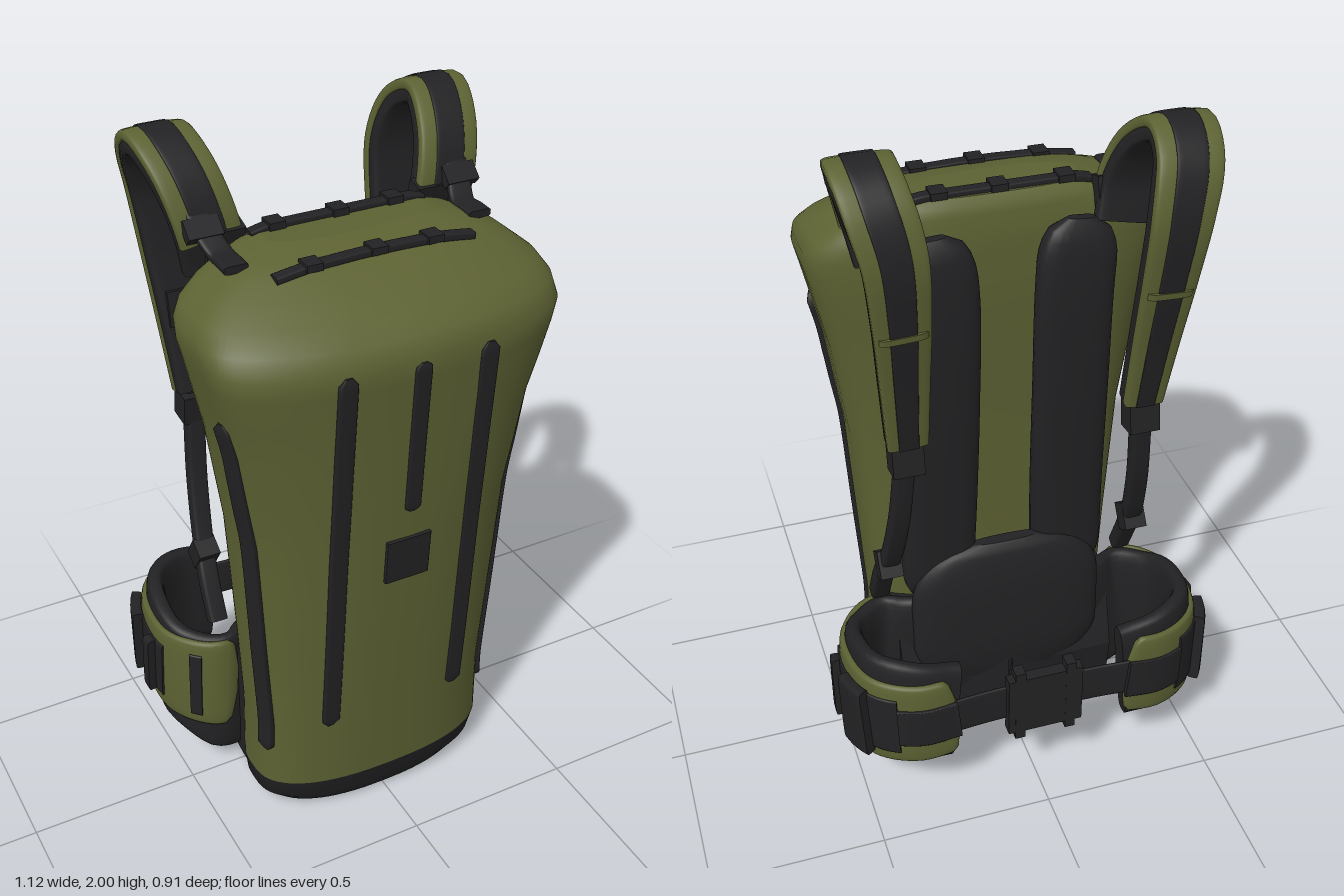
import * as THREE from 'three';

const green = new THREE.MeshStandardMaterial({ color: 0x5d6233 });
green.name = 'olive fabric';
const black = new THREE.MeshStandardMaterial({ color: 0x222224 });
black.name = 'black webbing';

const V = (x, y, z) => new THREE.Vector3(x, y, z);
const X = V(1, 0, 0), Y = V(0, 1, 0), Z = V(0, 0, 1);
const spow = (v, e) => Math.sign(v) * Math.abs(v) ** e;

// Closed skin over a list of rings, with fan caps
function skin(rings) {
  const n = rings[0].length, pos = [], idx = [];
  rings.forEach(r => r.forEach(p => pos.push(p.x, p.y, p.z)));
  for (let i = 0; i < rings.length - 1; i++) for (let j = 0; j < n; j++) {
    const k = (j + 1) % n, a = i * n + j, c = i * n + k;
    idx.push(a, a + n, c, a + n, c + n, c);
  }
  [rings[0], rings[rings.length - 1]].forEach((r, end) => {
    const base = pos.length / 3;
    const mid = r.reduce((s, p) => s.add(p), V(0, 0, 0)).divideScalar(n);
    [...r, mid].forEach(p => pos.push(p.x, p.y, p.z));
    for (let j = 0; j < n; j++) {
      const k = (j + 1) % n;
      idx.push(base + n, base + (end ? k : j), base + (end ? j : k));
    }
  });
  const g = new THREE.BufferGeometry();
  g.setAttribute('position', new THREE.Float32BufferAttribute(pos, 3));
  g.setIndex(idx);
  g.computeVertexNormals();
  return g;
}

// Flat padded band along a path; side is the width direction
function band(points, side, width, thick, { off = 0, from = 0, to = 1, n = 5, steps = 28, round = 0 } = {}) {
  const curve = new THREE.CatmullRomCurve3(points), rings = [];
  for (let i = 0; i <= steps; i++) {
    const s = i / steps, u = from + (to - from) * s;
    const P = curve.getPointAt(u), T = curve.getTangentAt(u);
    const S = side.clone().addScaledVector(T, -side.dot(T)).normalize();
    const N = S.clone().cross(T);
    const e = round ? Math.min(1, Math.min(s, 1 - s) / round) : 1;
    const f = 0.35 + 0.65 * Math.sqrt(1 - (1 - e) ** 2);
    const w = (typeof width === 'function' ? width(u) : width) / 2 * f;
    const ring = [];
    for (let j = 0; j < 24; j++) {
      const a = j / 24 * Math.PI * 2;
      ring.push(P.clone().addScaledVector(S, w * spow(Math.cos(a), 2 / n))
        .addScaledVector(N, off + thick / 2 * f * spow(Math.sin(a), 2 / n)));
    }
    rings.push(ring);
  }
  return skin(rings);
}

// Pack sections: y, half width, front z, back z, front bulge, squareness of the front corners
const rows = [
  [0.005, 0.27, 0.27, 0.03, 0.03, 3], [0.02, 0.32, 0.305, 0.01, 0.03, 3], [0.06, 0.36, 0.325, 0, 0.03, 3],
  [0.13, 0.37, 0.342, 0, 0.03, 3], [0.35, 0.365, 0.358, -0.005, 0.04, 3], [0.6, 0.378, 0.38, -0.01, 0.045, 3],
  [1.0, 0.40, 0.41, -0.025, 0.06, 3.2], [1.3, 0.44, 0.432, -0.045, 0.075, 4.2], [1.5, 0.483, 0.448, -0.06, 0.085, 6],
  [1.56, 0.497, 0.453, -0.06, 0.09, 6], [1.61, 0.497, 0.425, -0.06, 0.09, 5], [1.65, 0.475, 0.375, -0.06, 0.08, 4.5],
  [1.69, 0.425, 0.31, -0.055, 0.07, 4], [1.72, 0.37, 0.255, -0.05, 0.05, 4], [1.745, 0.31, 0.2, -0.045, 0.03, 4],
  [1.763, 0.23, 0.12, -0.025, 0.02, 4]];
const BACK = 3.2;
function section(y) {
  let i = 0;
  while (i < rows.length - 2 && rows[i + 1][0] < y) i++;
  const t = THREE.MathUtils.clamp((y - rows[i][0]) / (rows[i + 1][0] - rows[i][0]), 0, 1);
  const [, w, zf, zb, b, front] = rows[i].map((v, k) => v + (rows[i + 1][k] - v) * t);
  return { w, b, front, c: (zf - b + zb) / 2, d: (zf - b - zb) / 2 };
}
function packRing(y) {
  const s = section(y), ring = [];
  for (let j = 0; j < 72; j++) {
    const a = j / 72 * Math.PI * 2, sn = Math.sin(a), e = 2 / (sn > 0 ? s.front : BACK);
    const x = s.w * spow(Math.cos(a), e);
    const bulge = sn > 0 ? s.b * (1 - (x / s.w) ** 2) : 0;
    ring.push(V(x, y, s.c + s.d * spow(sn, e) + bulge));
  }
  return ring;
}
function frontZ(x, y) {
  const s = section(y), r = Math.min(1, Math.abs(x / s.w));
  return s.c + s.d * (1 - r ** s.front) ** (1 / s.front) + s.b * (1 - r * r);
}
function sideX(y, z) {
  let x = section(y).w;
  while (frontZ(x, y) < z) x -= 0.001;
  return x;
}
function topY(x, z) {
  let y = 1.763;
  for (; y > 1.5; y -= 0.002) {
    const s = section(y);
    if (Math.abs(x) < s.w && z < frontZ(x, y) && z > s.c - s.d * (1 - Math.abs(x / s.w) ** BACK) ** (1 / BACK)) break;
  }
  return y;
}
const spread = (a, b, n, f) => Array.from({ length: n + 1 }, (_, i) => f(a + (b - a) * i / n));

function mirrored(geo) {
  const g = geo.clone().scale(-1, 1, 1), a = g.index.array;
  for (let i = 0; i < a.length; i += 3) [a[i], a[i + 1]] = [a[i + 1], a[i]];
  g.computeVertexNormals();
  return g;
}

export function createModel() {
  const model = new THREE.Group();
  model.name = 'backpack';
  const add = (name, geo, mat) => {
    const m = new THREE.Mesh(geo, mat);
    m.name = name;
    model.add(m);
  };
  const pair = (name, geo, mat) => {
    add(name + 'Left', geo, mat);
    add(name + 'Right', mirrored(geo), mat);
  };
  const box = (w, h, d, x, y, z, rx = 0) => new THREE.BoxGeometry(w, h, d).rotateX(rx).translate(x, y, z);

  // Pack body and base
  const ys = rows.map(r => r[0]);
  add('packBase', skin(ys.slice(0, 4).map(packRing)), black);
  add('packBody', skin([...ys.slice(3), 0.8, 1.15, 1.4].sort((a, b) => a - b).map(packRing)), green);

  // Daisy-chain strips on front, sides and top
  const frontPath = (x, y0, y1) => spread(y0, y1, 12, y => V(x, y, frontZ(x, y)));
  pair('frontStrip', band(frontPath(0.2, 0.36, 1.55), X, 0.052, 0.018, { round: 0.02, steps: 60 }), black);
  add('centreStrip', band(frontPath(0, 1.09, 1.55), X, 0.046, 0.014, { round: 0.04, steps: 40 }), black);
  add('frontPatch', band(frontPath(-0.005, 0.868, 1.005), X, 0.132, 0.018, { n: 12 }), black);
  const sidePath = spread(0.25, 1.4, 12, y => V(sideX(y, 0.225 + 0.022 * y), y, 0.225 + 0.022 * y));
  pair('sideStrip', band(sidePath, V(0.33, 0, -0.94), 0.054, 0.024, { round: 0.02, steps: 60 }), black);
  [[0, 0.25], [0.205, 0.28]].forEach(([z, half]) => {
    add('topStrip', band(spread(-half, half, 10, x => V(x, topY(x, z) + 0.004, z)), Z, 0.035, 0.02), black);
    [-0.18, 0, 0.16].forEach(x => add('topClip', box(0.045, 0.02, 0.05, x, topY(x, z) + 0.01, z), black));
  });

  // Padded back panel
  const padPath = [V(0.2, 0.48, -0.035), V(0.19, 0.8, -0.055), V(0.185, 1.2, -0.08), V(0.185, 1.5, -0.09), V(0.2, 1.69, -0.08)];
  pair('backPad', band(padPath, X.clone().negate(), 0.215, 0.085, { n: 3, round: 0.1, steps: 40 }), black);
  const lumbar = [V(0, 0.15, -0.08), V(0, 0.4, -0.085), V(0, 0.67, -0.07)];
  add('lumbarPad', band(lumbar, X.clone().negate(), 0.58, 0.11, { n: 2.6, round: 0.35, steps: 32 }), black);
  const wedge = new THREE.Shape([[-0.06, 0.02], [0.0, 0.02], [0.1, 0.05], [0.12, 0.2], [0.05, 0.45], [-0.06, 0.45]]
    .map(p => new THREE.Vector2(...p)));
  add('lumbarBase', new THREE.ExtrudeGeometry(wedge, { depth: 0.66, bevelEnabled: false })
    .translate(0, 0, -0.33).rotateY(Math.PI / 2), black);

  // Hip belt wings
  const wing = heights => [[0, -0.1], [0.25, -0.06], [0.39, -0.03], [0.475, -0.12], [0.485, -0.24], [0.45, -0.34], [0.36, -0.395], [0.25, -0.4]]
    .map(([x, z], i) => V(x, heights[i], z));
  const down = Y.clone().negate();
  const core = wing([0.265, 0.265, 0.285, 0.315, 0.35, 0.37, 0.37, 0.36]);
  const cover = wing([0.315, 0.32, 0.33, 0.335, 0.345, 0.355, 0.36, 0.37]);
  const coreHeight = u => 0.47 - 0.09 * THREE.MathUtils.smoothstep(u, 0.25, 0.55) - 0.04 * THREE.MathUtils.smoothstep(u, 0.8, 1);
  pair('beltPad', band(core, down, coreHeight, 0.06, { off: -0.006, n: 4, steps: 48 }), black);
  pair('beltCover', band(cover, down, u => 0.34 - 0.06 * u, 0.032, { off: 0.026, from: 0.36, n: 4, steps: 40, round: 0.06 }), green);
  const belt = (name, w, t, off, from, to) => pair(name, band(cover, down, w, t, { off, from, to, n: 8, steps: 12 }), black);
  belt('beltStripe', 0.23, 0.01, 0.042, 0.445, 0.475);
  belt('beltPanel', 0.2, 0.012, 0.042, 0.56, 0.84);
  belt('beltWebbing', 0.13, 0.014, 0.046, 0.84, 1);
  belt('beltAdjuster', 0.2, 0.03, 0.056, 0.59, 0.62);
  belt('beltBuckle', 0.23, 0.036, 0.058, 0.69, 0.77);

  // Belt closure at the back
  add('closureWebbing', band([V(-0.29, 0.37, -0.435), V(-0.15, 0.37, -0.425), V(0.15, 0.37, -0.425), V(0.29, 0.37, -0.435)], Y, 0.12, 0.012), black);
  add('closureBuckle', box(0.22, 0.2, 0.035, 0, 0.37, -0.437), black);
  [-0.075, 0.075].forEach(x => add('buckleBar', box(0.03, 0.25, 0.04, x, 0.37, -0.435), black));

  // Shoulder straps
  const strap = [V(0.32, 1.66, -0.06), V(0.345, 1.78, -0.05), V(0.375, 1.9, -0.1), V(0.398, 1.968, -0.2), V(0.388, 1.925, -0.29),
    V(0.36, 1.8, -0.337), V(0.345, 1.62, -0.322), V(0.335, 1.42, -0.285), V(0.325, 1.21, -0.248)];
  const strapW = u => 0.17 - 0.06 * Math.max(0, u - 0.45) / 0.55;
  pair('strapPad', band(strap, X, u => strapW(u) * 0.96, 0.046, { off: -0.016, steps: 48 }), black);
  pair('strapCover', band(strap, X, strapW, 0.034, { off: 0.013, from: 0.08, steps: 48 }), green);
  pair('strapStripe', band(strap, X, u => strapW(u) * 0.48, 0.008, { off: 0.03, from: 0.08, steps: 48 }), black);
  pair('strapKeeper', band(strap, X, 0.13, 0.074, { from: 0.68, to: 0.695, steps: 4 }), green);
  pair('strapClip', box(0.09, 0.1, 0.03, 0.337, 1.46, -0.258, -0.15), black);

  // Lower webbing and adjusters
  const webbing = [V(0.325, 1.23, -0.25), V(0.333, 1.1, -0.235), V(0.345, 0.93, -0.21), V(0.36, 0.76, -0.155), V(0.372, 0.66, -0.1), V(0.375, 0.54, -0.04)];
  pair('lowerWebbing', band(webbing, X, 0.055, 0.045), black);
  pair('strapAdjuster', box(0.085, 0.09, 0.07, 0.328, 1.16, -0.243, 0.15), black);
  pair('webbingAnchor', box(0.065, 0.08, 0.06, 0.365, 0.72, -0.138, 0.6), black);

  // Load lifters over the top corners
  const lifter = [...[0.135, 0.09, 0.05].map(z => V(0.347, topY(0.347, z) + 0.012, z)),
    V(0.362, 1.78, 0), V(0.375, 1.85, -0.06), V(0.385, 1.91, -0.1)];
  pair('loadLifter', band(lifter, X, 0.066, 0.022), black);
  pair('lifterBuckle', box(0.095, 0.03, 0.055, 0.37, 1.79, -0.012, 0.75), black);
  pair('lifterAnchor', box(0.1, 0.1, 0.05, 0.3, 1.73, -0.05, 0.3), black);
  return model;
}
